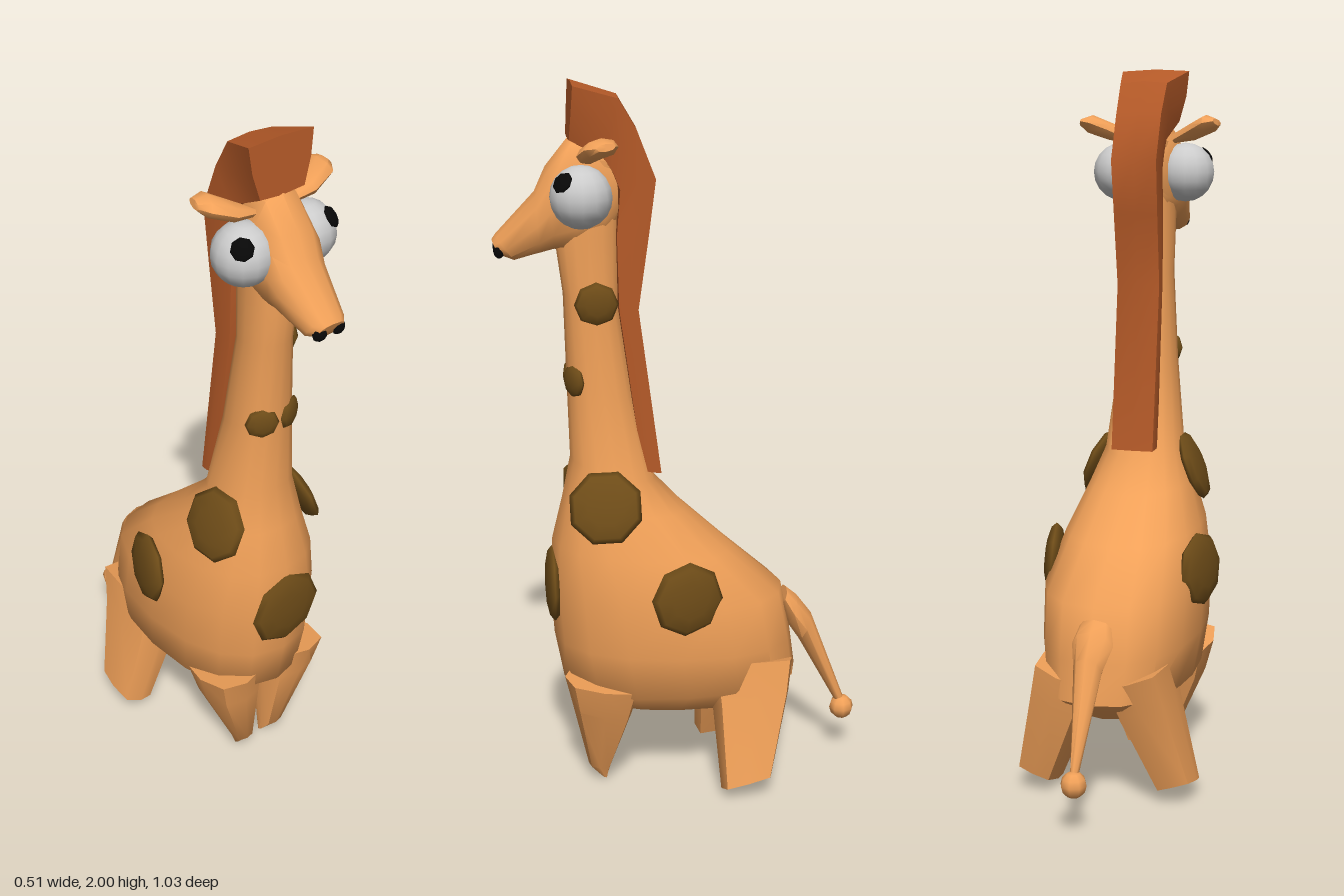
import * as THREE from 'three';
import { toCreasedNormals } from 'three/addons/utils/BufferGeometryUtils.js';

const mat = (color) => new THREE.MeshStandardMaterial({ color });

// Skin through sections [front/top point, back/bottom point, half width, half width at second point].
// Points are [x, y, z]; width runs along `side`; power < 1 makes a section boxier.
function loft(sections, { n = 12, power = 1, crease = 0.9, side = [1, 0, 0] } = {}) {
  const pos = [], index = [], across = new THREE.Vector3(...side).normalize();
  const curve = (v) => (Math.abs(v) < 1e-6 ? 0 : Math.sign(v) * Math.abs(v) ** power);
  const centres = sections.map(([a, b, w, w2 = w]) => {
    const A = new THREE.Vector3(...a), B = new THREE.Vector3(...b);
    const c = A.clone().add(B).multiplyScalar(0.5), h = A.sub(B).multiplyScalar(0.5);
    for (let i = 0; i < n; i++) {
      const t = (i / n) * Math.PI * 2, u = curve(Math.cos(t));
      const width = THREE.MathUtils.lerp(w2, w, (u + 1) / 2) * curve(Math.sin(t));
      const p = c.clone().addScaledVector(h, u).addScaledVector(across, width);
      pos.push(p.x, p.y, p.z);
    }
    return c;
  });
  const last = sections.length - 1, cap = pos.length / 3;
  for (const c of [centres[0], centres[last]]) pos.push(c.x, c.y, c.z);
  for (let i = 0; i < n; i++) {
    const j = (i + 1) % n;
    for (let s = 0; s < last; s++) {
      const a = s * n + i, b = s * n + j;
      index.push(a, b, b + n, a, b + n, a + n);
    }
    index.push(cap, j, i, cap + 1, last * n + i, last * n + j);
  }
  // Turn the faces outward if the skin came out inverted
  const v = (i) => new THREE.Vector3().fromArray(pos, i * 3).sub(centres[0]);
  let volume = 0;
  for (let k = 0; k < index.length; k += 3)
    volume += v(index[k]).dot(v(index[k + 1]).cross(v(index[k + 2])));
  if (volume < 0) index.reverse();
  const g = new THREE.BufferGeometry();
  g.setAttribute('position', new THREE.Float32BufferAttribute(pos, 3));
  g.setIndex(index);
  return toCreasedNormals(g, crease);
}

export function createModel() {
  const group = new THREE.Group();
  const coat = mat(0xf0a058), brown = mat(0xb55a28), spotMat = mat(0x6e4c18);
  const white = mat(0xcccccc), black = mat(0x080808);
  const add = (name, geometry, material) => {
    const m = new THREE.Mesh(geometry, material);
    m.name = name;
    group.add(m);
    return m;
  };

  // Torso and neck: [y front, z front, y back, z back, half width]
  add('bodyAndNeck', loft([
    [0.25, 0.27, 0.23, -0.2, 0.13],
    [0.31, 0.35, 0.31, -0.325, 0.2],
    [0.45, 0.375, 0.42, -0.31, 0.217],
    [0.6, 0.385, 0.57, -0.28, 0.22],
    [0.74, 0.375, 0.7, -0.13, 0.19],
    [0.86, 0.345, 0.82, 0.0, 0.145],
    [0.98, 0.32, 0.91, 0.085, 0.11],
    [1.2, 0.325, 1.15, 0.14, 0.084],
    [1.44, 0.33, 1.42, 0.18, 0.066],
    [1.6, 0.35, 1.6, 0.175, 0.068],
    [1.8, 0.32, 1.8, 0.175, 0.06],
  ].map(([yf, zf, yb, zb, w]) => [[0, yf, zf], [0, yb, zb], w]), { n: 16, power: 0.88 }), coat);

  // Head, from the crown to the muzzle
  add('head', loft([
    [[0, 1.8, 0.185], [0, 1.63, 0.18], 0.05],
    [[0, 1.86, 0.25], [0, 1.58, 0.21], 0.075],
    [[0, 1.86, 0.305], [0, 1.555, 0.29], 0.085],
    [[0, 1.78, 0.37], [0, 1.56, 0.35], 0.084],
    [[0, 1.715, 0.4], [0, 1.55, 0.39], 0.075],
    [[0, 1.605, 0.505], [0, 1.535, 0.455], 0.055],
    [[0, 1.59, 0.515], [0, 1.55, 0.495], 0.04],
  ], { n: 12, power: 0.85 }), coat);

  // Mane: a flared crest that runs down the back of the neck
  add('mane', loft([
    [[0, 2.0, 0.3], [0, 1.85, 0.31], 0.107, 0.072],
    [[0, 1.965, 0.18], [0, 1.8, 0.22], 0.073, 0.06],
    [[0, 1.88, 0.13], [0, 1.77, 0.2], 0.07, 0.06],
    [[0, 1.75, 0.08], [0, 1.72, 0.18], 0.07, 0.06],
    [[0, 1.6, 0.1], [0, 1.6, 0.19], 0.068, 0.06],
    [[0, 1.4, 0.13], [0, 1.4, 0.185], 0.066, 0.06],
    [[0, 0.935, 0.07], [0, 0.945, 0.125], 0.065, 0.065],
  ], { n: 8, power: 0.2, crease: 0.7 }), brown);

  // Tail with a small ball at the end
  add('tail', loft([
    [[-0.01, 0.545, -0.3], [-0.01, 0.5, -0.28], 0.045],
    [[-0.01, 0.52, -0.33], [-0.01, 0.44, -0.3], 0.058],
    [[-0.01, 0.46, -0.375], [-0.01, 0.38, -0.34], 0.04],
    [[-0.01, 0.18, -0.48], [-0.01, 0.17, -0.455], 0.012],
  ], { n: 8 }), coat);
  add('tailTip', new THREE.SphereGeometry(0.036, 8, 6), coat).position.set(-0.01, 0.148, -0.475);

  // Flattened faceted ball lying on the skin, facing along a direction
  const patch = (name, p, dir, r, depth, material) => {
    const m = add(name, new THREE.SphereGeometry(r, 8, 6).rotateX(Math.PI / 2), material);
    m.scale.z = depth / r;
    m.position.set(...p);
    m.quaternion.setFromUnitVectors(new THREE.Vector3(0, 0, 1), new THREE.Vector3(...dir).normalize());
  };
  patch('chestSpot', [0, 0.6, 0.375], [0, 0, 1], 0.115, 0.024, spotMat);
  patch('neckSpotUpper', [0.066, 1.42, 0.245], [1, 0, 0], 0.06, 0.022, spotMat);

  for (const s of [1, -1]) {
    const side = s > 0 ? 'left' : 'right';

    // Front legs lean inward to narrow hooves
    add(side + 'FrontLeg', loft([
      [[s * 0.115, 0.36, 0.355], [s * 0.115, 0.32, 0.14], 0.085],
      [[s * 0.1, 0.27, 0.335], [s * 0.1, 0.23, 0.165], 0.075],
      [[s * 0.055, 0.05, 0.288], [s * 0.05, 0.035, 0.225], 0.03],
      [[s * 0.045, 0.012, 0.255], [s * 0.045, 0.0, 0.235], 0.022],
    ], { n: 8, power: 0.7 }), coat);

    // Hind legs splay outward, the right one set a little further forward
    const dz = s > 0 ? -0.01 : 0.01;
    add(side + 'HindLeg', loft([
      [[s * 0.1, 0.37, -0.05], [s * 0.1, 0.37, -0.3], 0.085],
      [[s * 0.125, 0.25, -0.055 + dz], [s * 0.125, 0.28, -0.275 + dz], 0.078],
      [[s * 0.2, 0.02, -0.07 + dz], [s * 0.2, 0.055, -0.215 + dz], 0.055],
    ], { n: 8, power: 0.5, side: [1, 0.35 * s, 0] }), coat);

    // Ears flare outward and back
    add(side + 'Ear', loft([
      [[s * 0.06, 1.81, 0.29], [s * 0.06, 1.8, 0.25], 0.012],
      [[s * 0.12, 1.82, 0.295], [s * 0.12, 1.83, 0.225], 0.024],
      [[s * 0.185, 1.845, 0.28], [s * 0.165, 1.85, 0.19], 0.026],
      [[s * 0.205, 1.85, 0.25], [s * 0.195, 1.855, 0.2], 0.01],
    ], { n: 8, side: [-0.3 * s, 1, 0] }), coat);

    // Eyes, pupils and nostrils
    add(side + 'Eye', new THREE.SphereGeometry(0.083, 14, 10), white).position.set(s * 0.095, 1.712, 0.283);
    patch(side + 'Pupil', [s * 0.138, 1.757, 0.332], [s * 0.043, 0.045, 0.049], 0.03, 0.012, black);
    patch(side + 'Nostril', [s * 0.03, 1.563, 0.498], [s * 0.25, -0.2, 1], 0.02, 0.014, black);

    // Paired coat spots
    patch(side + 'NeckSpot', [s * 0.045, 1.205, 0.308], [s * 0.5, 0, 1], 0.046, 0.018, spotMat);
    patch(side + 'ShoulderSpot', [s * 0.14, 0.87, 0.235], [s, 0.4, 0.12], 0.105, 0.026, spotMat);
    patch(side + 'FlankSpot', [s * 0.217, 0.62, 0.02], [s, 0.08, -0.25], 0.105, 0.028, spotMat);
  }
  return group;
}
